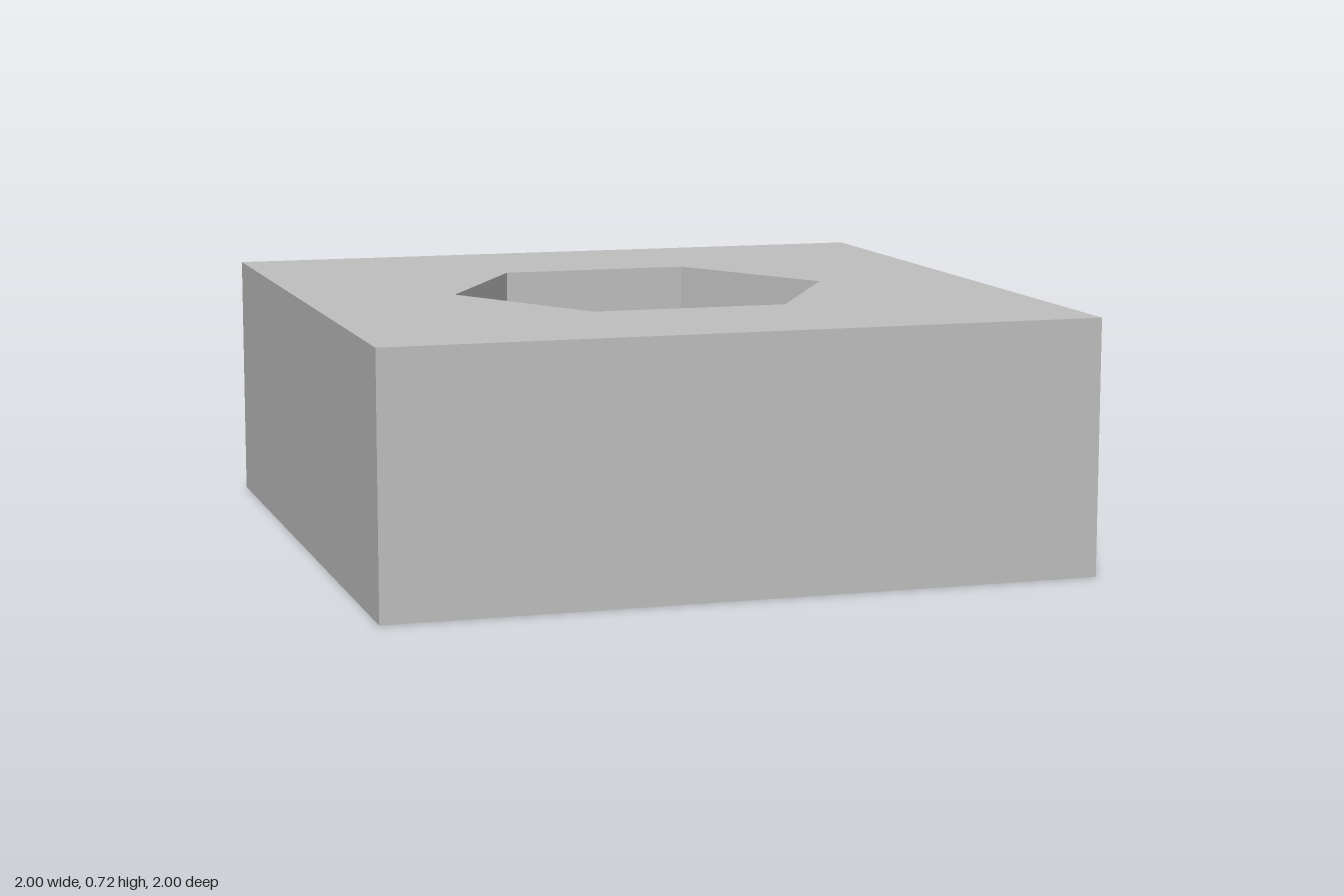
import * as THREE from 'three';

const HEIGHT = 0.716, LEDGE = 0.143;      // block height, floor of the hex pocket
const HEX_R = 0.555, BORE_R = 0.325;
const BORE_SEGMENTS = 64;

// Regular polygon outline; start is measured from +x
function ring(radius, sides, start = 0, PathType = THREE.Shape) {
  const points = [];
  for (let i = 0; i < sides; i++) {
    const a = start + (i / sides) * Math.PI * 2;
    points.push(new THREE.Vector2(radius * Math.cos(a), radius * Math.sin(a)));
  }
  return new PathType(points);
}

// Flat horizontal face with a hole, facing up or down
function face(outline, hole, y, up) {
  outline.holes.push(hole);
  const geometry = new THREE.ShapeGeometry(outline);
  geometry.rotateX(up ? -Math.PI / 2 : Math.PI / 2);
  return geometry.translate(0, y, 0);
}

// Vertical wall; faces outward when yFrom < yTo, inward otherwise
function wall(radius, yFrom, yTo, sides, start, flat) {
  const profile = [new THREE.Vector2(radius, yFrom), new THREE.Vector2(radius, yTo)];
  const geometry = new THREE.LatheGeometry(profile, sides, start, Math.PI * 2);
  if (!flat) return geometry;
  const faceted = geometry.toNonIndexed();
  faceted.computeVertexNormals();
  return faceted;
}

export function createModel() {
  const model = new THREE.Group();
  model.name = 'hexPocketBlock';
  const grey = new THREE.MeshStandardMaterial({ color: 0xc0c0c0 });
  grey.name = 'grey';

  const add = (name, geometry) => {
    const mesh = new THREE.Mesh(geometry, grey);
    mesh.name = name;
    model.add(mesh);
  };
  const square = () => ring(Math.SQRT2, 4, Math.PI / 4);
  const bore = () => ring(BORE_R, BORE_SEGMENTS, 0, THREE.Path);

  // Outer block
  add('outerWalls', wall(Math.SQRT2, 0, HEIGHT, 4, Math.PI / 4, true));
  add('topFace', face(square(), ring(HEX_R, 6, 0, THREE.Path), HEIGHT, true));
  add('bottomFace', face(square(), bore(), 0, false));

  // Hexagonal pocket with a round bore through its floor
  add('pocketWalls', wall(HEX_R, HEIGHT, LEDGE, 6, Math.PI / 2, true));
  add('pocketFloor', face(ring(HEX_R, 6), bore(), LEDGE, true));
  add('boreWall', wall(BORE_R, LEDGE, 0, BORE_SEGMENTS, 0, false));

  return model;
}
